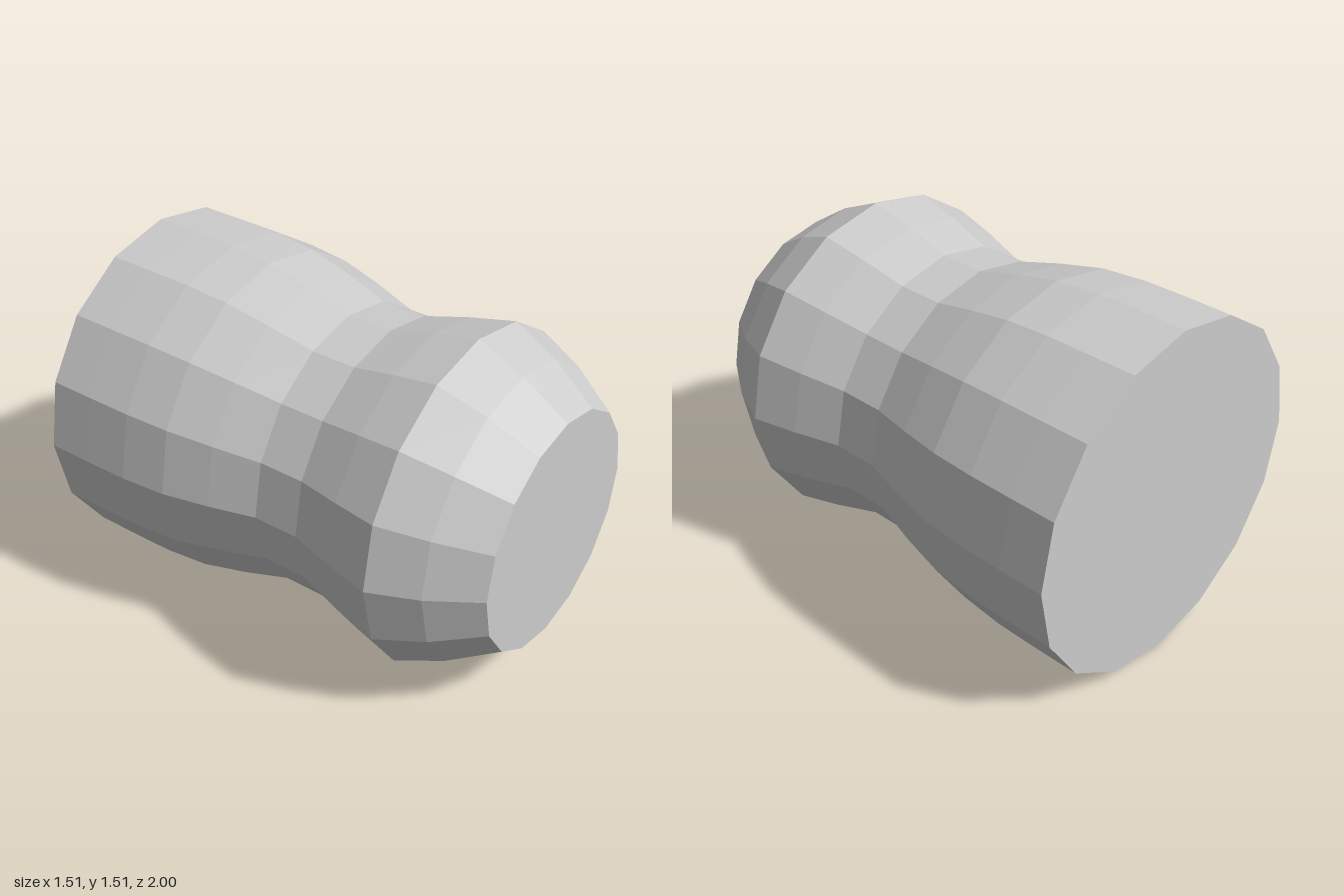
import * as THREE from 'three';

export function createModel() {
  const group = new THREE.Group();
  const grey = new THREE.MeshStandardMaterial({ color: 0xcccccc, flatShading: true });
  grey.name = 'light grey';

  // Profile from back to front: [radius, z], closed by flat caps
  const profile = [
    [0, -1], [0.753, -1], [0.753, -0.8], [0.75, -0.6], [0.732, -0.4], [0.685, -0.2],
    [0.627, 0], [0.627, 0.2], [0.685, 0.4], [0.732, 0.6], [0.643, 0.8], [0.512, 1], [0, 1],
  ].map(([r, z]) => new THREE.Vector2(r, z));

  // Sixteen-sided waisted body, turned to lie along z
  const geometry = new THREE.LatheGeometry(profile, 16);
  geometry.rotateX(Math.PI / 2);
  const body = new THREE.Mesh(geometry, grey);
  body.name = 'waistedBody';
  body.position.y = 0.754;
  group.add(body);

  return group;
}
